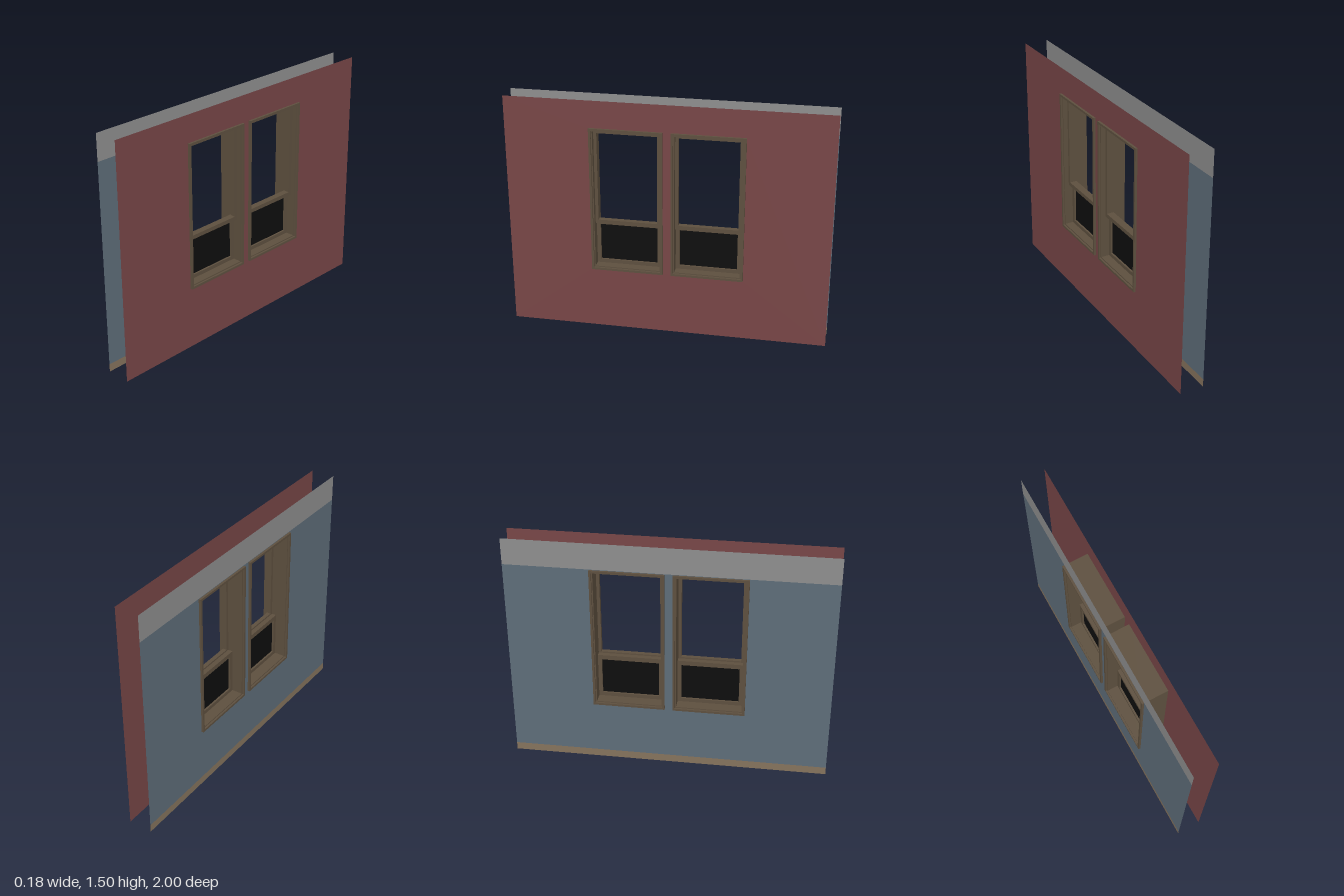
import * as THREE from 'three';

const mat = (name, color, side = THREE.FrontSide) => {
  const m = new THREE.MeshStandardMaterial({ color, side });
  m.name = name;
  return m;
};

// Rectangle path in the wall plane (u runs along the wall, v is up)
const trace = (path, u0, v0, u1, v1) =>
  path.moveTo(u0, v0).lineTo(u1, v0).lineTo(u1, v1).lineTo(u0, v1).closePath();

// Window extents
const NEAR = 0.025, FAR = 0.475, SILL = 0.4, HEAD = 1.33;

export function createModel() {
  const brick = mat('brick red', 0x784647, THREE.DoubleSide);
  const blue = mat('slate blue', 0x5e6d79, THREE.DoubleSide);
  const grey = mat('ceiling grey', 0x8e8e8e, THREE.DoubleSide);
  const tan = mat('skirting tan', 0x85735d, THREE.DoubleSide);
  const wood = mat('frame brown', 0x5e503f);
  const black = mat('dark glass', 0x0e0e0e);
  const model = new THREE.Group();

  // Paper-thin wall panel, optionally pierced by both window openings
  const panel = (name, x, v0, v1, material, pierced) => {
    const shape = new THREE.Shape();
    trace(shape, -1, v0, 1, v1);
    if (pierced) {
      for (const s of [-1, 1]) {
        const hole = new THREE.Path();
        trace(hole, s * (NEAR + 0.003), SILL + 0.003, s * (FAR - 0.003), HEAD - 0.003);
        shape.holes.push(hole);
      }
    }
    const mesh = new THREE.Mesh(new THREE.ShapeGeometry(shape), material);
    mesh.name = name;
    mesh.rotation.y = Math.PI / 2;
    mesh.position.x = x;
    model.add(mesh);
  };
  panel('outerWall', 0.076, 0, 1.5, brick, true);
  panel('innerWall', -0.076, 0.05, 1.333, blue, true);
  panel('innerWallTopBand', -0.076, 1.333, 1.5, grey, false);
  panel('skirting', -0.076, 0, 0.05, tan, false);

  // Rectangular ring of timber: half width, bottom, top, border width, x range
  const ring = (name, half, v0, v1, border, x0, x1) => {
    const shape = new THREE.Shape();
    trace(shape, -half, v0, half, v1);
    const hole = new THREE.Path();
    trace(hole, -half + border, v0 + border, half - border, v1 - border);
    shape.holes.push(hole);
    const geo = new THREE.ExtrudeGeometry(shape, { depth: x1 - x0, bevelEnabled: false });
    geo.rotateY(Math.PI / 2).translate(x0, 0, 0);
    const mesh = new THREE.Mesh(geo, wood);
    mesh.name = name;
    return mesh;
  };

  // Two identical double-hung windows
  const half = (FAR - NEAR) / 2;
  for (const s of [1, -1]) {
    const win = new THREE.Group();
    win.name = s > 0 ? 'frontWindow' : 'rearWindow';
    win.position.z = s * (NEAR + FAR) / 2;
    win.add(
      ring('casing', half, SILL, HEAD, 0.014, -0.09, 0.09),
      ring('jambLiner', half - 0.013, SILL + 0.013, HEAD - 0.013, 0.008, -0.078, 0.078),
      ring('upperSash', half - 0.015, 0.7, HEAD - 0.015, 0.025, 0.022, 0.048),
      ring('lowerSash', half - 0.015, SILL + 0.015, 0.715, 0.03, -0.008, 0.022)
    );
    const glass = new THREE.Mesh(new THREE.BoxGeometry(0.006, 0.26, 2 * half - 0.06), black);
    glass.name = 'lowerPane';
    glass.position.set(0.007, 0.565, 0);
    win.add(glass);
    model.add(win);
  }
  return model;
}
